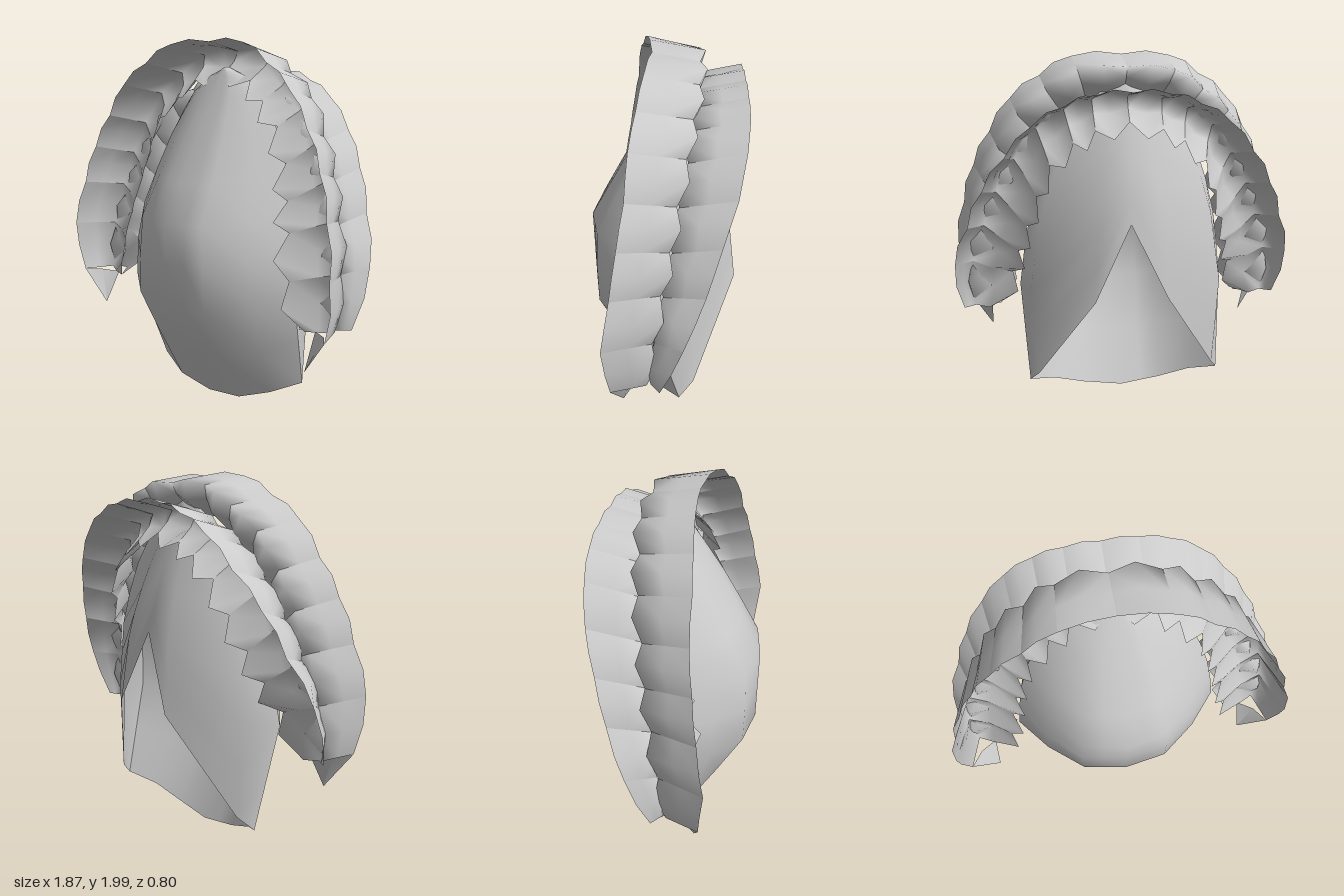
import * as THREE from 'three';

const material = new THREE.MeshStandardMaterial({ color: 0xcccccc, side: THREE.DoubleSide });

// Smooth sheet through a grid of points: rows of equal length
function sheet(rows, flip) {
  const n = rows[0].length, index = [];
  for (let r = 0; r < rows.length - 1; r++) {
    for (let c = 0; c < n - 1; c++) {
      const a = r * n + c, b = a + 1, d = a + n, e = d + 1;
      if (flip) index.push(a, d, b, b, d, e);
      else index.push(a, b, d, b, e, d);
    }
  }
  const geo = new THREE.BufferGeometry().setFromPoints(rows.flat());
  geo.setIndex(index);
  geo.computeVertexNormals();
  return geo;
}

function add(group, name, geo) {
  const mesh = new THREE.Mesh(geo, material);
  mesh.name = name;
  group.add(mesh);
}

// Linear lookup in a table of [position, value]
function look(table, p) {
  for (let i = 1; i < table.length; i++) {
    const [p0, a] = table[i - 1], [p1, b] = table[i];
    if (p <= p1) return a + (b - a) * Math.max(0, (p - p0) / (p1 - p0));
  }
  return table[table.length - 1][1];
}

// Tongue: half width, front, back and side depth against height
const width = [[0, 0.54], [0.17, 0.55], [0.75, 0.585], [1.2, 0.5], [1.5, 0.39], [1.7, 0.26], [1.8, 0.14], [1.85, 0]];
const front = [[0, 0.06], [0.6, 0.4], [1.05, 0.4], [1.45, 0.18], [1.85, -0.06]];
const back = [[0, -0.25], [0.25, -0.27], [0.77, -0.39], [1.17, -0.34], [1.37, -0.28], [1.85, -0.1]];
const side = [[0, -0.09], [0.17, -0.09], [0.75, 0.06], [1.4, -0.05], [1.85, -0.09]];
// Roundness across the width, and where each face starts at the bottom
const frontRound = [[0, 1], [0.42, 0.9], [0.75, 0.5], [1, 0]];
const backRound = [[0, 1], [0.33, 1], [0.9, 0.5], [1, 0]];
const frontStart = [[0, 0], [0.5, 0.04], [1, 0.17]];
const backStart = [[0, 1.17], [0.33, 0.77], [0.9, 0.25], [1, 0.17]];

function tongueSheet(depth, round, start, columns, flip) {
  const across = [...columns.map((s) => -s).reverse(), 0, ...columns];
  const rows = [0, 0.16, 0.324, 0.45, 0.567, 0.68, 0.784, 0.86, 0.919, 0.973, 1].map((f) => across.map((s) => {
    const t = Math.abs(s), y0 = look(start, t), y = y0 + (1.85 - y0) * f;
    const zs = look(side, y);
    return new THREE.Vector3(look(width, y) * s, y, zs + (look(depth, y) - zs) * look(round, t));
  }));
  return sheet(rows, flip);
}

// Tooth boundaries of one half arch: gum x, y, z, then inner x, y, then tip z
const frontArch = [
  [0, 1.98, 0.06, 0, 1.82, -0.2], [0.26, 1.97, 0.09, 0.2, 1.78, -0.19],
  [0.43, 1.87, 0.12, 0.31, 1.68, -0.16], [0.59, 1.75, 0.15, 0.43, 1.56, -0.13],
  [0.71, 1.57, 0.165, 0.5, 1.38, -0.09], [0.81, 1.38, 0.2, 0.54, 1.2, -0.06],
  [0.88, 1.16, 0.235, 0.58, 1.05, -0.02], [0.935, 0.9, 0.28, 0.62, 0.82, 0.02],
  [0.9, 0.6, 0.25, 0.7, 0.57, 0.05],
];
const backArch = [
  [0, 1.84, -0.4, 0, 1.68, -0.15], [0.18, 1.83, -0.4, 0.17, 1.64, -0.14],
  [0.33, 1.78, -0.4, 0.28, 1.58, -0.12], [0.48, 1.69, -0.38, 0.4, 1.47, -0.09],
  [0.62, 1.53, -0.34, 0.47, 1.3, -0.05], [0.74, 1.35, -0.27, 0.53, 1.12, -0.02],
  [0.83, 1.14, -0.2, 0.58, 0.96, 0.02],
  [0.92, 0.9, -0.1, 0.62, 0.8, 0.06], [0.9, 0.6, 0.01, 0.68, 0.58, 0.08],
];

// Cross-section of the hollow shell; mid is 1 in the middle of a tooth
function section(p, mid, sx, dir) {
  const [ox, oy, oz, ix, iy, tip] = p;
  const len = Math.hypot(ox - ix, oy - iy);
  const nx = (ox - ix) / len, ny = (oy - iy) / len;
  const at = (f, out, z) => new THREE.Vector3(
    sx * Math.max(0, ox + (ix - ox) * f + nx * out), oy + (iy - oy) * f + ny * out, z);
  const tz = tip + dir * (mid ? -0.01 : 0.025);
  return [
    at(0, 0.02 * mid, oz),
    at(0.14, 0.02 * mid, (oz + tz) / 2),
    at(0.28, 0.02 * mid, tz),
    at(0.62, -0.02 * mid, tz + dir * 0.03),
    at(1, -0.055 * mid, oz - dir * (mid ? 0.07 : 0.13)),
  ];
}

function arch(name, data, dir) {
  const group = new THREE.Group();
  group.name = name;
  for (const sx of [1, -1]) {
    for (let i = 0; i < data.length - 1; i++) {
      const middle = data[i].map((v, k) => (v + data[i + 1][k]) / 2);
      const rows = [section(data[i], 0, sx, dir), section(middle, 1, sx, dir), section(data[i + 1], 0, sx, dir)];
      add(group, 'tooth', sheet(rows, sx * dir < 0));
    }
  }
  return group;
}

export function createModel() {
  const model = new THREE.Group();

  // Tongue: full upper face, underside cut away to a peak
  const tongue = new THREE.Group();
  tongue.name = 'tongue';
  add(tongue, 'tongueTop', tongueSheet(front, frontRound, frontStart, [0.22, 0.42, 0.75, 1], false));
  add(tongue, 'tongueUnderside', tongueSheet(back, backRound, backStart, [0.33, 0.9, 1], true));
  model.add(tongue);

  // Two facing rows of hollow teeth
  const frontTeeth = arch('frontTeeth', frontArch, 1);
  model.add(frontTeeth, arch('backTeeth', backArch, -1));

  // Pointed gum flaps at the ends of the front row
  for (const s of [1, -1]) {
    const v = (x, y, z) => new THREE.Vector3(s * x, y, z);
    add(frontTeeth, 'gumFlap', sheet([
      [v(0.9, 0.6, 0.25), v(0.84, 0.59, 0.16), v(0.75, 0.58, 0.1)],
      [v(0.76, 0.4, 0.2), v(0.76, 0.4, 0.2), v(0.76, 0.4, 0.2)],
    ], s < 0));
  }
  return model;
}
